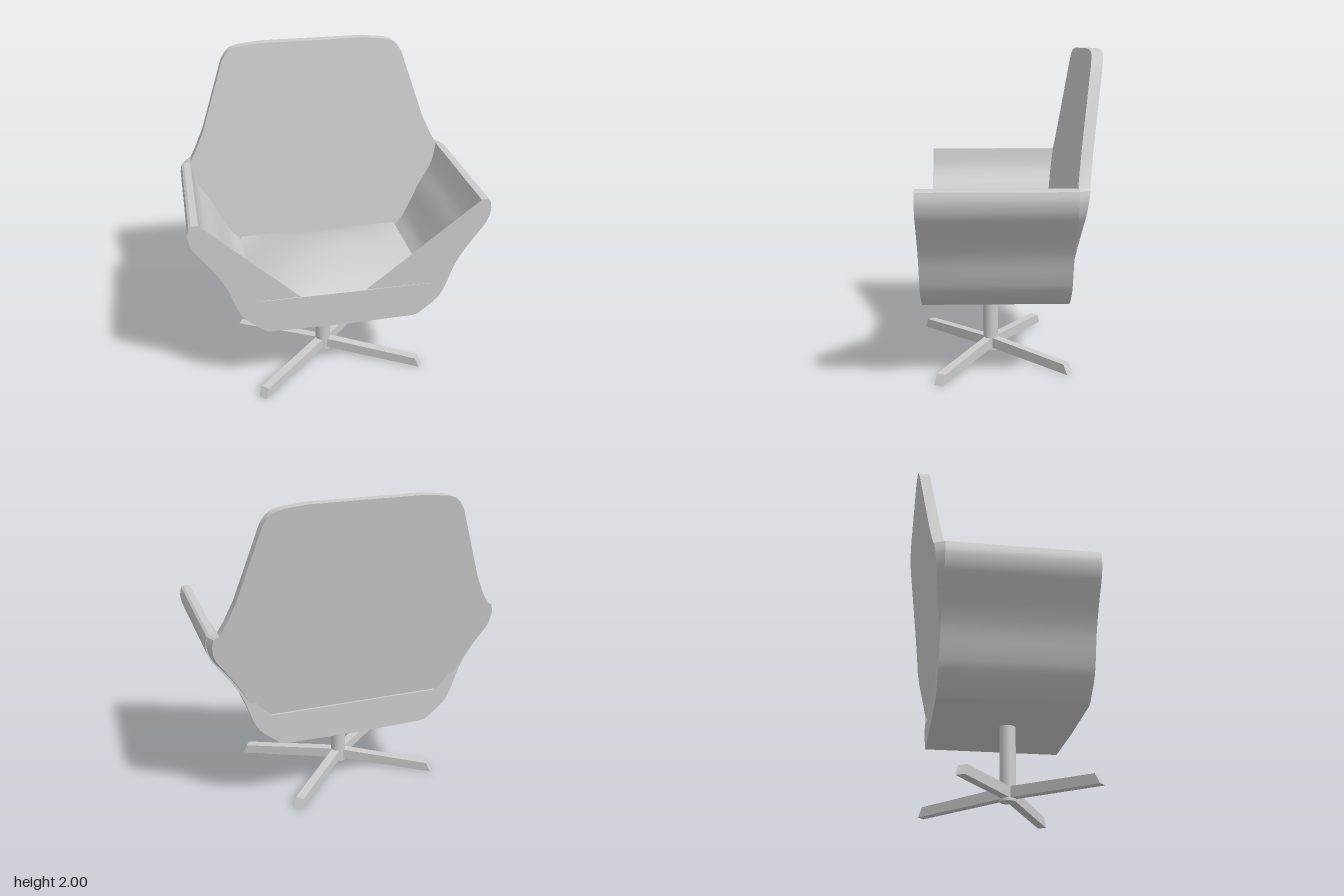
import * as THREE from 'three';
import { toCreasedNormals } from 'three/addons/utils/BufferGeometryUtils.js';

const V = (x, y) => new THREE.Vector2(x, y);
const mirror = (pts) => pts.map((p) => V(-p.x, p.y)).reverse();
const spline = (pts, n) => new THREE.SplineCurve(pts.map((p) => V(...p))).getPoints(n);

export function createModel() {
  const group = new THREE.Group();
  const material = new THREE.MeshStandardMaterial({ color: 0xcccccc });
  const add = (name, geometry, parent = group) => {
    const mesh = new THREE.Mesh(geometry, material);
    mesh.name = name;
    parent.add(mesh);
    return mesh;
  };
  const extrude = (pts, depth) =>
    new THREE.ExtrudeGeometry(new THREE.Shape(pts), { depth, bevelEnabled: false });

  // Outer side curve of the seat shell, bottom to arm top
  const outer = [V(0, 0.475), V(0.45, 0.483), ...spline([
    [0.48, 0.49], [0.6, 0.59], [0.65, 0.68], [0.7, 0.82], [0.76, 0.93],
    [0.83, 1.03], [0.885, 1.11], [0.905, 1.19], [0.895, 1.25],
  ], 28), V(0.88, 1.26)];
  const inner = spline([
    [0.84, 1.26], [0.805, 1.12], [0.72, 0.98], [0.655, 0.85], [0.605, 0.76], [0.54, 0.69],
  ], 18);

  // Seat shell with both arms: a U section running front to back
  const back = -0.392, front = 0.495;
  const shell = extrude([...outer, ...inner, ...mirror(inner), ...mirror(outer).slice(0, -1)], front - back);
  shell.translate(0, 0, back);
  add('seatShell', toCreasedNormals(shell, 0.5));

  // Front panel closing the shell below straight lines from the arm tops
  const panel = new THREE.ShapeGeometry(new THREE.Shape([
    ...outer, V(0.84, 1.26), V(0.14, 0.71), V(-0.26, 0.71), V(-0.84, 1.26),
    ...mirror(outer).slice(0, -1),
  ]));
  panel.translate(0, 0, front + 0.002);
  add('frontPanel', panel);

  // Leaning backrest slab, its lower rim tapering towards the rear
  const upper = [
    [0.835, 1.27], [0.8, 1.33], [0.74, 1.46], [0.59, 1.9], [0.56, 1.945],
    [0.53, 1.97], [0.48, 1.985], [0.34, 2],
  ].map((p) => V(...p));
  const side = [...outer, ...upper];
  const slab = extrude([...side, ...mirror(side).slice(0, -1)], 1);
  const pos = slab.attributes.position;
  for (let i = 0; i < pos.count; i++) {
    const y = pos.getY(i), rear = 1 - pos.getZ(i);
    if (y < 1.265) pos.setX(i, pos.getX(i) * (1 - 0.03 * rear));
    pos.setZ(i, -0.39 - 0.135 * (y - 1.26) - 0.065 * rear);
  }
  add('backrest', toCreasedNormals(slab, 0.5));

  // Cushion: rounded underside with a domed top
  const cushion = new THREE.Group();
  cushion.name = 'cushion';
  group.add(cushion);
  const under = spline([[0.3, 0.61], [0.43, 0.617], [0.5, 0.645], [0.53, 0.68], [0.54, 0.71]], 14);
  const base = extrude([...under, ...mirror(under)], 0.82);
  base.translate(0, 0, -0.32);
  add('cushionBase', toCreasedNormals(base, 0.6), cushion);
  const dome = new THREE.PlaneGeometry(1.08, 0.82, 28, 28).rotateX(-Math.PI / 2);
  const dp = dome.attributes.position;
  for (let i = 0; i < dp.count; i++) {
    const u = dp.getX(i) / 0.54, v = dp.getZ(i) / 0.41;
    dp.setY(i, 0.71 + 0.108 * (1 - u * u) * (1 - v * v));
  }
  dome.translate(0, 0, 0.09);
  dome.computeVertexNormals();
  add('cushionTop', dome, cushion);

  // Post
  const cx = -0.05, cz = 0.08;
  const post = add('post', new THREE.CylinderGeometry(0.05, 0.05, 0.49, 32));
  post.position.set(cx, 0.255, cz);

  // Four tapering legs with slanted ends
  for (const [dx, dz] of [[-0.475, 0.45], [0.6, 0.32], [0.44, -0.49], [-0.555, -0.34]]) {
    const r = Math.hypot(dx, dz);
    const leg = extrude([V(0, 0.03), V(r, 0.003), V(r - 0.03, 0.065), V(0, 0.098)], 0.055);
    leg.translate(0, 0, -0.0275);
    const mesh = add('leg', leg);
    mesh.rotation.y = Math.atan2(-dz, dx);
    mesh.position.set(cx, 0, cz);
  }
  return group;
}
